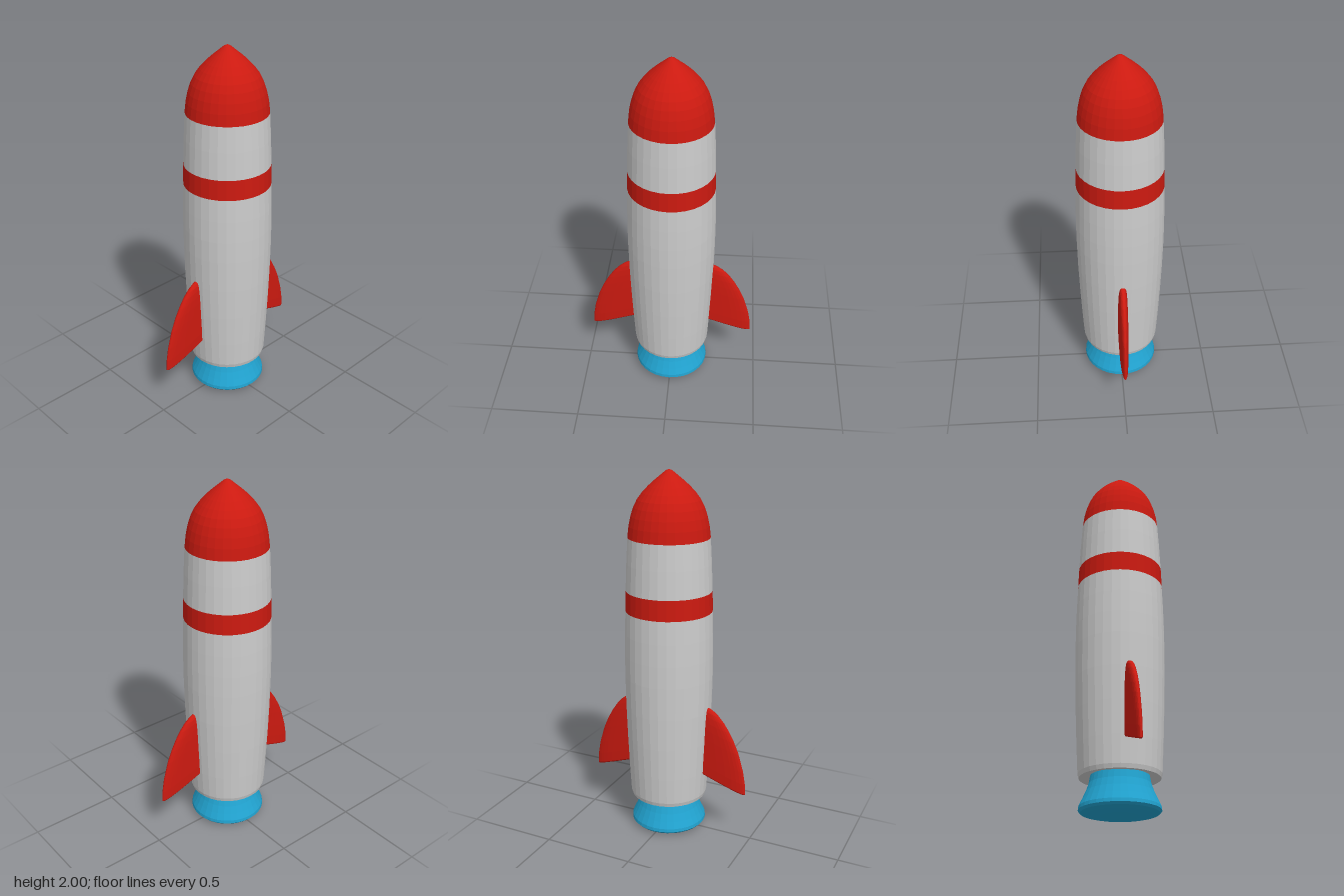
import * as THREE from 'three';

const material = (color) => new THREE.MeshStandardMaterial({ color, flatShading: true });
const grey = material(0xcccccc);
const red = material(0xcc1a10);
const blue = material(0x21a3d0);

// Turned part: profile of [radius, height], listed from bottom to top
function turned(name, profile, mat) {
  const points = profile.map(([r, y]) => new THREE.Vector2(r, y));
  const mesh = new THREE.Mesh(new THREE.LatheGeometry(points, 32), mat);
  mesh.name = name;
  return mesh;
}

// Swept fin: rows of rounded cross-sections, all sloping down away from the hull
function finGeometry() {
  const root = 0.18, slope = 0.35, halfThickness = 0.026, steps = 16;
  // [height at the root, outer x, thickness factor]
  const rows = [
    [0.345, 0.458, 0], [0.345, 0.458, 0.75], [0.352, 0.465, 0.93], [0.41, 0.461, 1],
    [0.48, 0.448, 1], [0.57, 0.418, 1], [0.625, 0.39, 0.98], [0.669, 0.36, 0.93],
    [0.703, 0.33, 0.84], [0.728, 0.298, 0.7], [0.741, 0.27, 0.5], [0.745, 0.25, 0.3], [0.746, 0.235, 0],
  ];
  const positions = [], index = [];
  rows.forEach(([h, outer, k], j) => {
    for (let i = 0; i <= steps; i++) {
      const a = (i / steps - 0.5) * Math.PI;
      const x = root + (outer - root) * Math.sqrt(Math.max(0, Math.cos(a)));
      positions.push(x, h - slope * (x - 0.22), k * halfThickness * Math.sin(a));
      if (j < rows.length - 1 && i < steps) {
        const p = j * (steps + 1) + i, up = p + steps + 1;
        index.push(p, up, p + 1, p + 1, up, up + 1);
      }
    }
  });
  const geometry = new THREE.BufferGeometry();
  geometry.setAttribute('position', new THREE.Float32BufferAttribute(positions, 3));
  geometry.setIndex(index);
  geometry.computeVertexNormals();
  return geometry;
}

export function createModel() {
  const rocket = new THREE.Group();
  rocket.name = 'rocket';

  // Hull, split into coloured bands
  rocket.add(
    turned('lowerHull', [
      [0, 0.21], [0.15, 0.205], [0.195, 0.19], [0.208, 0.193], [0.214, 0.215], [0.222, 0.36],
      [0.23, 0.54], [0.236, 0.72], [0.239, 0.9], [0.239, 1.02], [0.237, 1.14], [0.233, 1.265],
    ], grey),
    turned('stripe', [[0.233, 1.265], [0.23, 1.375]], red),
    turned('upperHull', [[0.23, 1.375], [0.224, 1.52], [0.216, 1.655]], grey),
    turned('noseCone', [
      [0.216, 1.655], [0.209, 1.715], [0.198, 1.765], [0.183, 1.81], [0.164, 1.848],
      [0.138, 1.883], [0.108, 1.915], [0.075, 1.945], [0.042, 1.972], [0.018, 1.992], [0, 2],
    ], red),
  );

  // Flared engine nozzle, closed below
  rocket.add(turned('nozzle', [
    [0, 0.002], [0.1, 0.005], [0.165, 0.012], [0.198, 0.02], [0.209, 0.032], [0.207, 0.05],
    [0.19, 0.085], [0.172, 0.125], [0.158, 0.165], [0.15, 0.21],
  ], blue));

  // Fins on both sides
  const fin = finGeometry();
  [['leftFin', 0], ['rightFin', Math.PI]].forEach(([name, turn]) => {
    const mesh = new THREE.Mesh(fin, red);
    mesh.name = name;
    mesh.rotation.y = turn;
    rocket.add(mesh);
  });

  return rocket;
}
